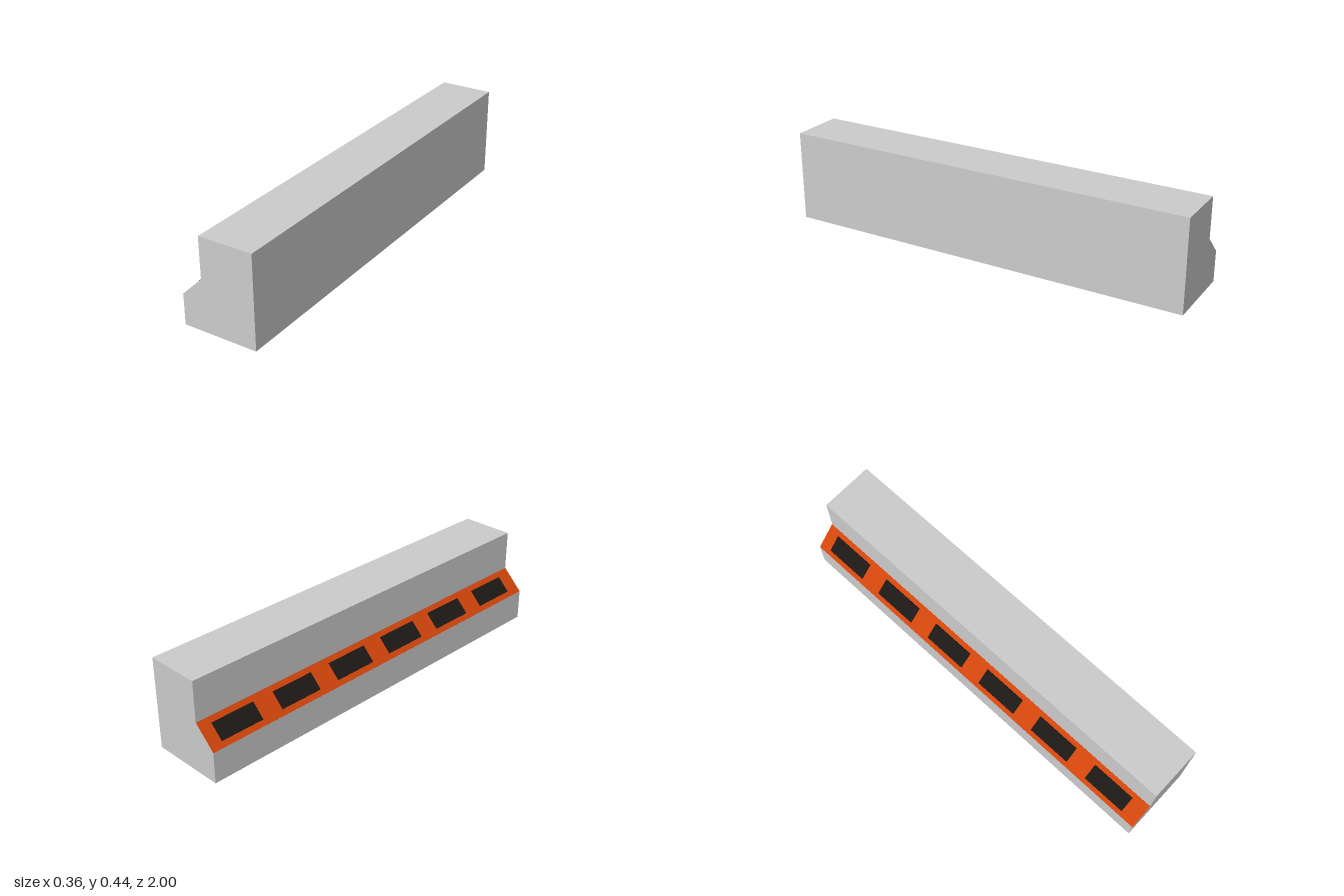
import * as THREE from 'three';

const LENGTH = 2;
const SLOPE_LOW = new THREE.Vector2(-0.181, 0.148);
const SLOPE_HIGH = new THREE.Vector2(-0.08, 0.246);

function material(color) {
  return new THREE.MeshStandardMaterial({ color, flatShading: true });
}

function addMesh(parent, name, geometry, mat) {
  const mesh = new THREE.Mesh(geometry, mat);
  mesh.name = name;
  parent.add(mesh);
  return mesh;
}

export function createModel() {
  const model = new THREE.Group();
  model.name = 'steppedBar';

  // Solid body: stepped cross-section with a chamfered ledge, run along z
  const profile = new THREE.Shape([
    new THREE.Vector2(-0.181, 0),
    new THREE.Vector2(0.181, 0),
    new THREE.Vector2(0.181, 0.442),
    new THREE.Vector2(-0.08, 0.442),
    SLOPE_HIGH,
    SLOPE_LOW,
  ]);
  const bodyGeometry = new THREE.ExtrudeGeometry(profile, { depth: LENGTH, bevelEnabled: false });
  bodyGeometry.translate(0, 0, -LENGTH / 2);
  addMesh(model, 'body', bodyGeometry, material(0xcccccc));

  // Coloured strip covering the whole sloped face
  const slope = SLOPE_HIGH.clone().sub(SLOPE_LOW);
  const middle = SLOPE_LOW.clone().add(SLOPE_HIGH).multiplyScalar(0.5);
  const stripGeometry = new THREE.PlaneGeometry(slope.length(), LENGTH);
  stripGeometry.rotateX(-Math.PI / 2);
  const strip = addMesh(model, 'slopedStrip', stripGeometry, material(0xd0440c));
  strip.rotation.z = slope.angle();
  strip.position.set(middle.x - 0.0007, middle.y + 0.0007, 0);

  // Row of six thin dark panels resting on the strip
  const panels = new THREE.Group();
  panels.name = 'panels';
  model.add(panels);
  const panelGeometry = new THREE.BoxGeometry(0.086, 0.005, 0.218);
  const panelMaterial = material(0x1c1815);
  for (let i = 0; i < 6; i++) {
    const panel = addMesh(panels, `panel${i + 1}`, panelGeometry, panelMaterial);
    panel.rotation.z = Math.PI / 4;
    panel.position.set(-0.133, 0.1995, -0.01 + (i - 2.5) * 0.328);
  }

  return model;
}
